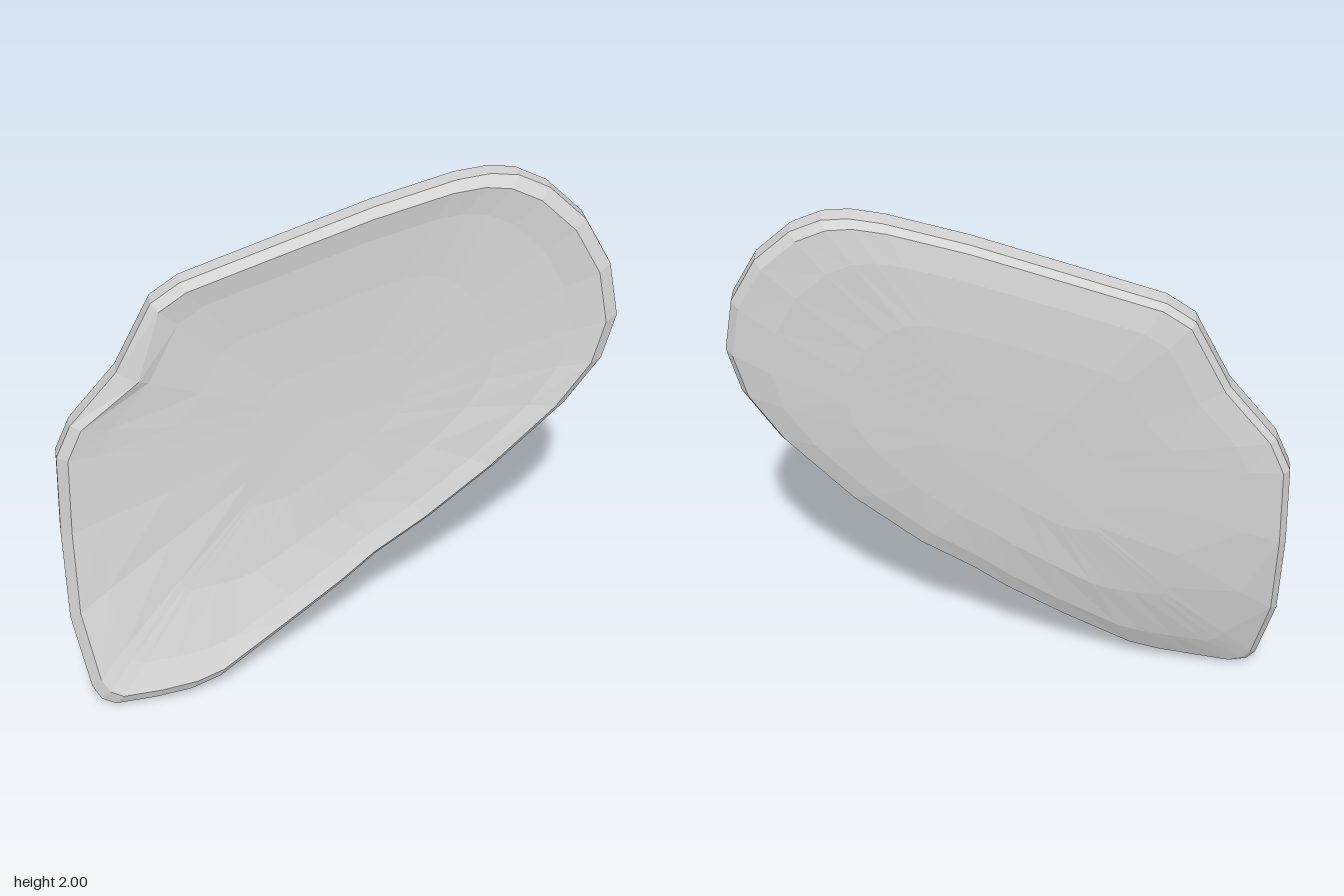
import * as THREE from 'three';

// Outline of the slab (x, y), counterclockwise from the bottom corner
const RIM = [
  [-0.8, 0], [-0.67, 0.02], [-0.55, 0.045], [-0.45, 0.085], [-0.2, 0.26],
  [0, 0.41], [0.12, 0.515], [0.3, 0.645], [0.52, 0.85], [0.73, 1.1],
  [0.835, 1.28], [0.875, 1.45], [0.85, 1.65], [0.775, 1.82], [0.67, 1.94],
  [0.58, 1.99], [0.5, 2], [0.4, 1.985], [0.15, 1.91], [-0.2, 1.78],
  [-0.44, 1.69], [-0.53, 1.62], [-0.65, 1.36], [-0.8, 1.15], [-0.85, 1.02],
  [-0.865, 0.7], [-0.88, 0.35], [-0.86, 0.07], [-0.84, 0.02],
];
const NOTCH = 22; // outline point where the front edge is chipped away

// Rings from the back centre round the rim to the front centre: [scale, offset along the normal]
const RINGS = [
  [0, -0.1], [0.3, -0.097], [0.6, -0.09], [0.85, -0.075], [0.975, -0.055], [1, -0.03],
  [1, 0.03], [0.96, 0.055], [0.85, 0.038], [0.6, 0.022], [0.3, 0.014], [0, 0.012],
];
const FRONT_EDGE = 7; // ring that carries the chip

const CENTRE = [-0.02, 1.08];
const NORMAL = new THREE.Vector3(-0.45, 0.06, 1).normalize();

// Leaning middle surface: the right end and the foot curl forward, the left edge curls back
function sheetZ(x, y) {
  return 0.45 * x - 0.06 * (y - 1)
    + 0.18 * Math.max(0, 0.8 - y) ** 2
    + 0.15 * Math.max(0, x - 0.3) ** 2
    - 0.2 * Math.max(0, -0.4 - x) ** 2;
}

function slabGeometry() {
  const n = RIM.length;
  const positions = [];
  const index = [];

  RINGS.forEach(([scale, offset], k) => {
    RIM.forEach(([rx, ry], i) => {
      const s = k === FRONT_EDGE && i === NOTCH ? 0.9 : scale;
      const x = THREE.MathUtils.lerp(CENTRE[0], rx, s);
      const y = THREE.MathUtils.lerp(CENTRE[1], ry, s);
      const v = new THREE.Vector3(x, y, sheetZ(x, y)).addScaledVector(NORMAL, offset);
      positions.push(v.x, Math.max(0, v.y), v.z);
    });
  });

  for (let k = 0; k < RINGS.length - 1; k++) {
    for (let i = 0; i < n; i++) {
      const j = (i + 1) % n;
      const a = k * n + i, b = k * n + j, c = b + n, d = a + n;
      if (RINGS[k][0] > 0) index.push(a, b, d);
      if (RINGS[k + 1][0] > 0) index.push(b, c, d);
    }
  }

  const geometry = new THREE.BufferGeometry();
  geometry.setAttribute('position', new THREE.Float32BufferAttribute(positions, 3));
  geometry.setIndex(index);
  const flat = geometry.toNonIndexed();
  flat.computeVertexNormals();
  return flat;
}

export function createModel() {
  const stone = new THREE.MeshStandardMaterial({ color: 0xd4d4d4, flatShading: true });
  stone.name = 'stone grey';

  const group = new THREE.Group();
  group.name = 'stone slab';

  // Leaning, dished slab with bevelled edges
  const slab = new THREE.Mesh(slabGeometry(), stone);
  slab.name = 'slab';
  group.add(slab);
  return group;
}
